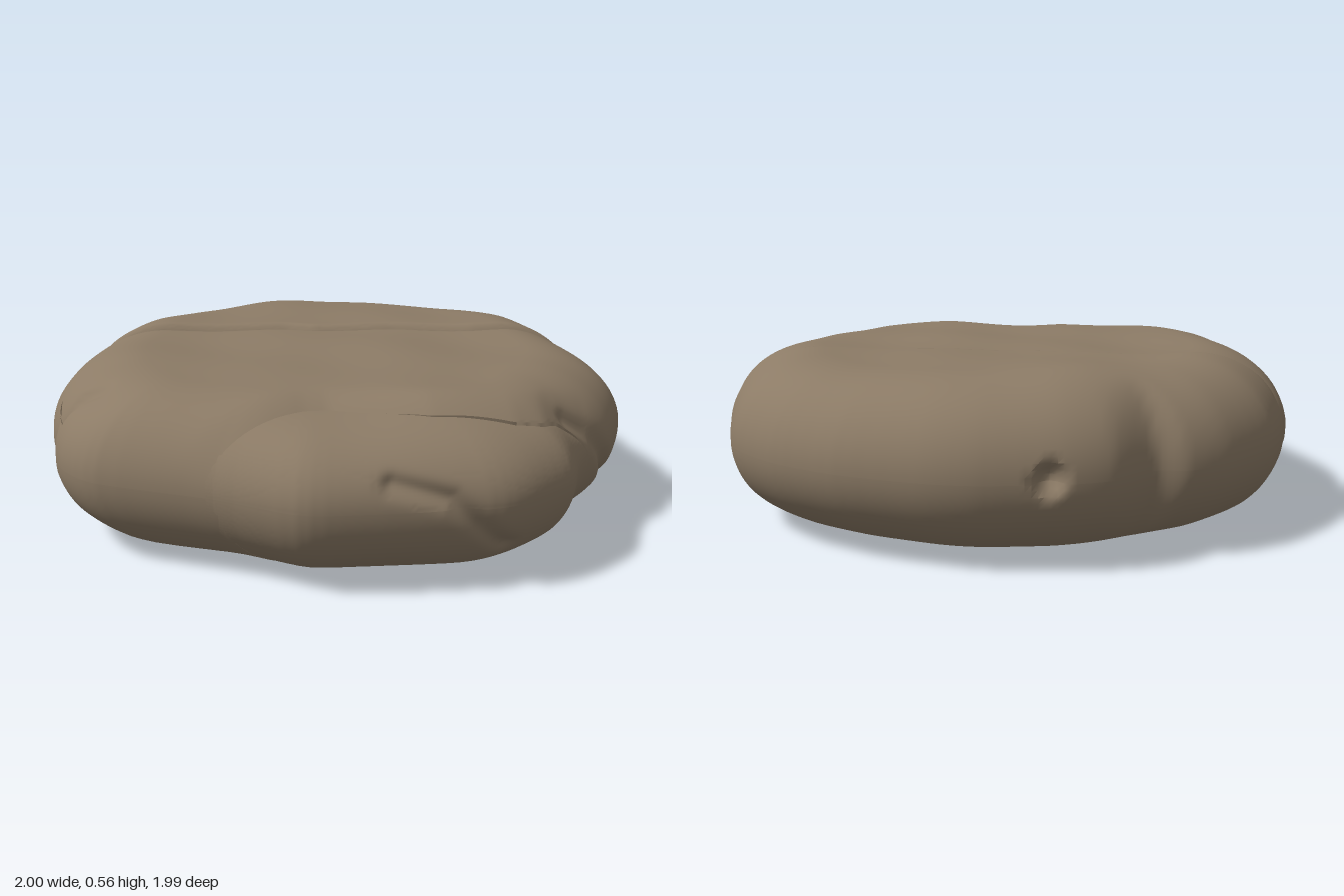
import * as THREE from 'three';
import { toCreasedNormals } from 'three/addons/utils/BufferGeometryUtils.js';

// Plan outline of the stone as [x, z] points
const CORNERS = [
  [1, 0.1], [0.98, 0.27], [0.87, 0.48], [0.74, 0.62], [0.68, 0.71], [0.62, 0.83], [0.47, 0.94], [0.33, 0.985],
  [-0.05, 0.985], [-0.22, 0.965], [-0.45, 0.82], [-0.8, 0.65], [-0.91, 0.52], [-0.96, 0.36], [-0.945, 0.31],
  [-0.98, 0.2], [-1, 0.03], [-0.98, -0.15], [-0.94, -0.32], [-0.91, -0.37], [-0.89, -0.45], [-0.8, -0.63],
  [-0.62, -0.8], [-0.48, -0.865], [-0.38, -0.86], [-0.25, -0.96], [-0.1, -0.995], [0.14, -0.995],
  [0.3, -0.96], [0.55, -0.85], [0.75, -0.7], [0.9, -0.5], [0.965, -0.2], [0.975, -0.13],
];
const smoothLoop = (corners) => new THREE.CatmullRomCurve3(
  corners.map(([x, z]) => new THREE.Vector3(x, 0, z)), true, 'catmullrom', 0.35).getPoints(136).slice(0, -1);
const OUTLINE = smoothLoop(CORNERS);
// The same outline without its small nicks, which only cut into the rim
const SHOULDER = smoothLoop(CORNERS.filter(([x]) => ![-0.38, -0.945, -0.91, 0.68].includes(x)));

// Crack lines, z as a function of x
const BACK_CRACK = [[-1, -0.36], [-0.9, -0.352], [-0.5, -0.32], [-0.15, -0.28], [-0.05, -0.245],
  [0.25, -0.22], [0.55, -0.165], [1, -0.145]];
const FRONT_CRACK = [[-1, 1.2], [-0.6, 0.95], [-0.45, 0.83], [-0.25, 0.73], [-0.17, 0.695], [-0.1, 0.685],
  [0.05, 0.725], [0.2, 0.77], [0.45, 0.775], [0.55, 0.74], [0.6, 0.69], [0.74, 0.62], [1, 0.75]];

// Shallow creases running over the rim
const CREASES = [
  { width: 0.03, depth: 0.06, path: [[0.05, 0.37, 0.97], [0.22, 0.32, 0.985], [0.31, 0.23, 0.975], [0.4, 0.14, 0.92]] },
  { width: 0.03, depth: 0.06, path: [[0.66, 0.44, 0.64], [0.78, 0.36, 0.59], [0.84, 0.27, 0.53], [0.87, 0.18, 0.44], [0.88, 0.13, 0.38]] },
  { width: 0.03, depth: 0.06, path: [[-0.95, 0.34, 0.33], [-0.9, 0.45, 0.35], [-0.8, 0.52, 0.4]] },
].map(({ width, depth, path }) => {
  const pts = path.map((v) => new THREE.Vector3(...v));
  return { width, depth, lines: pts.slice(1).map((b, i) => new THREE.Line3(pts[i], b)) };
});

function lerpTable(table, x) {
  let i = 0;
  while (i < table.length - 2 && x > table[i + 1][0]) i++;
  const [x0, z0] = table[i], [x1, z1] = table[i + 1];
  return z0 + ((z1 - z0) * (x - x0)) / (x1 - x0);
}
const backCrack = (x) => lerpTable(BACK_CRACK, x);
const frontCrack = (x) => lerpTable(FRONT_CRACK, x);

// Distance from the centre relative to an outline: 1 on the rim
function rho(x, z, outline) {
  for (let i = 0; i < outline.length; i++) {
    const a = outline[i], b = outline[(i + 1) % outline.length];
    if (a.x * z - a.z * x >= 0 && b.x * z - b.z * x < 0 && a.x * x + a.z * z > 0) {
      return ((b.z - a.z) * x - (b.x - a.x) * z) / (a.x * b.z - a.z * b.x);
    }
  }
  return 0;
}

// z where the outline is met, going from a start point in direction dir
function rimZ(x, start, dir) {
  let inside = start, outside = dir * 1.15;
  if (rho(x, start, OUTLINE) > 1) return start;
  for (let n = 0; n < 22; n++) {
    const mid = (inside + outside) / 2;
    if (rho(x, mid, OUTLINE) > 1) outside = mid; else inside = mid;
  }
  return inside;
}

// Share of the full thickness at a point: flat inside, elliptic towards the rim
function archAt(x, z) {
  const r = rho(x, z, OUTLINE);
  const blend = THREE.MathUtils.smoothstep(r, 0.82, 1);
  const mixed = THREE.MathUtils.lerp(rho(x, z, SHOULDER), r, blend);
  const d = THREE.MathUtils.clamp((mixed - 0.67) / 0.33, 0, 1);
  return Math.sqrt(1 - d ** 2.1);
}

// Gentle unevenness of the flat faces
const ripple = (x, z) => 0.008 * Math.sin(5 * x + 2 * z + 1) * Math.cos(4 * z - 2 * x)
  + 0.005 * Math.sin(11 * x - 5 * z) * Math.sin(6 * z + 3 * x);

// Rounding next to a crack: 1 on the line, 0 at the given distance
const lip = (z, line, width) => Math.max(0, 1 - Math.abs(z - line) / width) ** 2;

// Loft of closed loops along x; each loop runs over the top and back below
function lobe(name, material, o) {
  const cols = 160, rows = 48, loop = (rows + 1) * 2;
  const positions = [], index = [];
  const p = new THREE.Vector3(), near = new THREE.Vector3();
  for (let i = 0; i <= cols; i++) {
    const x = (o.x0 + o.x1) / 2 - ((o.x1 - o.x0) / 2) * Math.cos((Math.PI * i) / cols);
    const lo = o.lo(x), hi = Math.max(lo, o.hi(x));
    for (let k = 0; k < loop; k++) {
      const top = k <= rows;
      const j = top ? k : loop - 1 - k;
      const z = lo + (hi - lo) * (0.5 - 0.5 * Math.cos((Math.PI * j) / rows));
      // the end loops fold flat, which closes the lobe
      const arch = i === 0 || i === cols ? 0 : archAt(x, z);
      const w = lip(z, backCrack(x), 0.035);
      const height = top
        ? o.up(x) + ripple(x, z) - 0.03 * w - o.droop * lip(z, frontCrack(x), 0.14)
        : -o.down + 0.4 * ripple(z, x) + 0.025 * w;
      p.set(x * (1 - 0.012 * w), 0.29 + height * arch, z);
      for (const c of CREASES) {
        const dist = Math.min(...c.lines.map((l) => l.closestPointToPoint(p, true, near).distanceTo(p)));
        const dent = c.depth * Math.exp(-((dist / c.width) ** 2));
        p.lerp(near.set(p.x * 0.6, 0.29, p.z * 0.6), dent);
      }
      // small pit in the back rim
      const pit = Math.hypot(p.x + 0.06, p.y - 0.3, p.z + 0.97);
      if (pit < 0.06) p.z += 0.1 * (1 - pit / 0.06);
      positions.push(p.x, p.y, p.z);
    }
  }
  for (let i = 0; i < cols; i++) {
    for (let k = 0; k < loop; k++) {
      const a = i * loop + k, c = i * loop + ((k + 1) % loop), b = a + loop, e = c + loop;
      index.push(a, c, b, b, c, e);
    }
  }
  const geometry = new THREE.BufferGeometry();
  geometry.setAttribute('position', new THREE.Float32BufferAttribute(positions, 3));
  geometry.setIndex(index);
  const mesh = new THREE.Mesh(toCreasedNormals(geometry, 0.9), material);
  mesh.name = name;
  return mesh;
}

export function createModel() {
  const group = new THREE.Group();
  group.name = 'crackedStone';
  const stone = new THREE.MeshStandardMaterial({ color: 0x8c7b66 });
  stone.name = 'brown stone';

  group.add(
    // rear third, slightly thicker
    lobe('backSlab', stone, {
      x0: -0.918, x1: 0.973, up: () => 0.273, down: 0.264, droop: 0,
      lo: (x) => rimZ(x, backCrack(x), -1), hi: backCrack,
    }),
    // broad middle, drooping towards the chip
    lobe('mainSlab', stone, {
      x0: -0.999, x1: 0.999, up: () => 0.258, down: 0.27, droop: 0.04,
      lo: (x) => Math.max(backCrack(x), rimZ(x, 0.05, -1)),
      hi: (x) => Math.min(frontCrack(x), rimZ(x, 0.05, 1)),
    }),
    // lower chip at the front edge, tucked under the middle
    lobe('frontChip', stone, {
      x0: -0.47, x1: 0.735, up: (x) => 0.22 - 0.03 * x, down: 0.268, droop: 0,
      lo: (x) => frontCrack(x) - 0.06, hi: (x) => rimZ(x, 0.05, 1),
    }),
  );
  return group;
}
